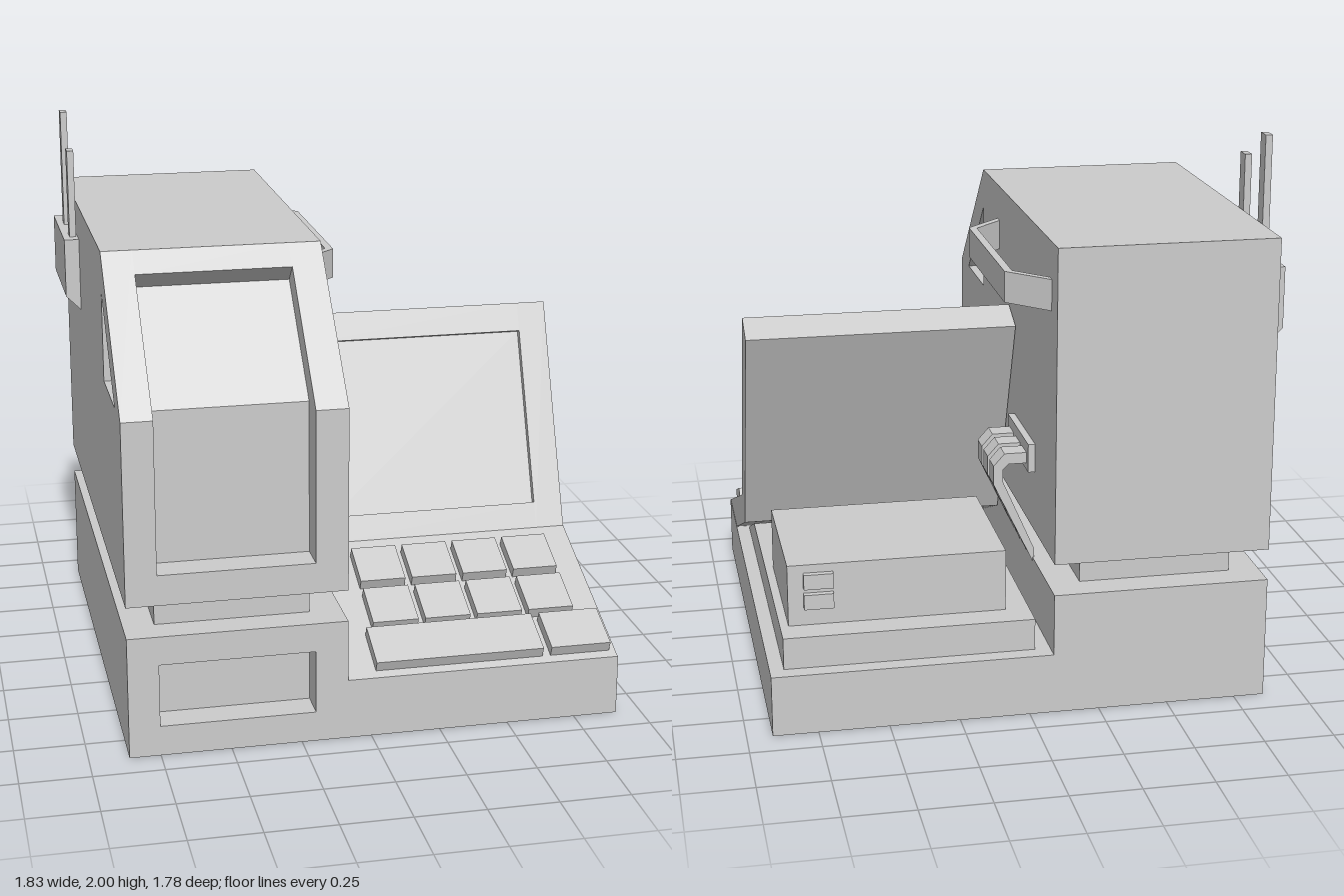
import * as THREE from 'three';

const grey = new THREE.MeshStandardMaterial({ color: 0xcccccc });
grey.name = 'plain grey';

const toShape = (pts) => new THREE.Shape(pts.map(([a, b]) => new THREE.Vector2(a, b)));

export function createModel() {
  const root = new THREE.Group();
  root.name = 'deskTerminal';

  const add = (name, geo, parent = root) => {
    const mesh = new THREE.Mesh(geo, grey);
    mesh.name = name;
    parent.add(mesh);
    return mesh;
  };
  const group = (name) => {
    const g = new THREE.Group();
    g.name = name;
    root.add(g);
    return g;
  };
  // box given by its min and max on each axis
  const box = (name, x0, x1, y0, y1, z0, z1, parent) => {
    const geo = new THREE.BoxGeometry(x1 - x0, y1 - y0, z1 - z0);
    geo.translate((x0 + x1) / 2, (y0 + y1) / 2, (z0 + z1) / 2);
    return add(name, geo, parent);
  };
  const extrude = (shape, depth) => new THREE.ExtrudeGeometry(shape, { depth, bevelEnabled: false });
  // side profile of [z, y] points, running from x0 to x1
  const slab = (name, pts, x0, x1, parent, hole) => {
    const flip = (list) => list.map(([z, y]) => [-z, y]);
    const shape = toShape(flip(pts));
    if (hole) shape.holes.push(toShape(flip(hole)));
    const geo = extrude(shape, x1 - x0);
    geo.rotateY(Math.PI / 2).translate(x0, 0, 0);
    return add(name, geo, parent);
  };
  // front profile of [x, y] points, running from z0 to z1
  const bracket = (name, pts, z0, z1, parent) =>
    add(name, extrude(toShape(pts), z1 - z0).translate(0, 0, z0), parent);

  const L = -0.86, R = -0.085, inL = -0.75, inR = -0.2;

  // base with a raised block holding a shallow front slot
  const base = group('base');
  box('basePlate', R, 0.91, 0, 0.22, -0.89, 0.89, base);
  box('blockRightWall', inR, R, 0, 0.445, -0.89, 0.89, base);
  box('blockLeftWall', L, inL, 0, 0.445, -0.89, 0.89, base);
  slab('blockCore', [[-0.89, 0], [0.89, 0], [0.89, 0.11], [0.775, 0.11], [0.775, 0.34],
    [0.89, 0.34], [0.89, 0.445], [-0.89, 0.445]], inL, inR, base);

  // cabinet: two walls with triangular recesses around a core with a sunken front
  box('neck', inL, inR, 0.445, 0.56, -0.78, 0.78);
  const cabinet = group('cabinet');
  const outline = [[-0.89, 0.56], [0.89, 0.56], [0.89, 1.22], [0.42, 1.69], [-0.89, 1.69]];
  const sideWindow = [[0.735, 1.225], [0.42, 1.225], [0.42, 1.54]];
  slab('cabinetLeftWall', outline, L, inL, cabinet, sideWindow);
  slab('cabinetRightWall', outline, inR, R, cabinet, sideWindow);
  slab('cabinetCore', [[-0.89, 0.56], [0.89, 0.56], [0.89, 0.67], [0.775, 0.67], [0.775, 1.218],
    [0.432, 1.561], [0.49, 1.62], [0.42, 1.69], [-0.89, 1.69]], inL, inR, cabinet);

  // antennas on their side mount
  const antennas = group('antennas');
  bracket('antennaMount', [[L, 1.285], [L, 1.56], [-0.915, 1.56], [-0.915, 1.34]], -0.78, -0.34, antennas);
  box('longAntenna', -0.89, -0.865, 1.56, 2, -0.665, -0.61, antennas);
  box('shortAntenna', -0.89, -0.865, 1.56, 1.89, -0.445, -0.39, antennas);

  // carrying handle, bent in plan and extruded upward
  const handlePlan = [[R, 0.14], [0.05, 0.005], [0.05, -0.66], [R, -0.8],
    [R, -0.765], [0.022, -0.65], [0.022, -0.008], [R, 0.1]];
  const handleGeo = extrude(toShape(handlePlan.map(([x, z]) => [x, -z])), 0.11);
  add('handle', handleGeo.rotateX(-Math.PI / 2).translate(0, 1.45, 0));

  // socket and three flat cables running back down to the base block
  const cables = group('cables');
  box('cableSocket', R, -0.06, 0.785, 0.89, -0.555, -0.195, cables);
  const cableProfile = [[-0.06, 0.85], [0.02, 0.85], [0.06, 0.805], [0.06, 0.735], [-0.09, 0.42],
    [-0.09, 0.48], [0.025, 0.742], [0.025, 0.79], [0.005, 0.81], [-0.06, 0.81]];
  for (const z of [-0.3, -0.413, -0.524]) bracket('cable', cableProfile, z, z + 0.078, cables);

  // stepped rear unit with two back connectors
  const rear = group('rearUnit');
  slab('rearStep', [[0.56, 0.22], [0.29, 0.335], [-0.83, 0.335], [-0.83, 0.22]], -0.03, 0.86, rear);
  box('rearBox', 0.055, 0.83, 0.335, 0.56, -0.725, -0.165, rear);
  for (const y of [0.4, 0.475]) box('connector', 0.67, 0.775, y, y + 0.055, -0.748, -0.725, rear);

  // folded console: sloping keyboard and upright screen with a shallow sunken face
  const consoleGroup = group('console');
  const fold = [0.235, 0.48], top = [-0.095, 1.285];
  const consoleBack = [[-0.22, 1.235], [0.115, 0.41], [0.57, 0.22], [0.89, 0.22]];
  const onScreen = (t, d) => [fold[0] - 0.379 * t - 0.925 * d, fold[1] + 0.925 * t - 0.379 * d];
  const plain = [...consoleBack, fold, top];
  const sunken = [...consoleBack, fold, onScreen(0.097, 0), onScreen(0.097, 0.025),
    onScreen(0.762, 0.025), onScreen(0.762, 0), top];
  slab('consoleRightSide', plain, -0.082, 0.015, consoleGroup);
  slab('consoleCore', sunken, 0.015, 0.8, consoleGroup);
  slab('consoleLeftSide', plain, 0.8, 0.908, consoleGroup);

  // keys lying on the slope
  const keys = group('keys');
  const slope = Math.atan2(0.26, 0.655);
  const key = (name, x0, x1, z) => {
    const mesh = add(name, new THREE.BoxGeometry(x1 - x0, 0.04, 0.178), keys);
    const y = 0.22 + (0.89 - z) * Math.tan(slope);
    mesh.position.set((x0 + x1) / 2, y + 0.02 * Math.cos(slope), z + 0.02 * Math.sin(slope));
    mesh.rotation.x = slope;
  };
  for (const z of [0.392, 0.592])
    for (let i = 0; i < 4; i++) key('key', 0.052 + i * 0.194, 0.22 + i * 0.194, z);
  key('wideKey', 0.022, 0.635, 0.776);
  key('enterKey', 0.665, 0.885, 0.776);

  return root;
}
